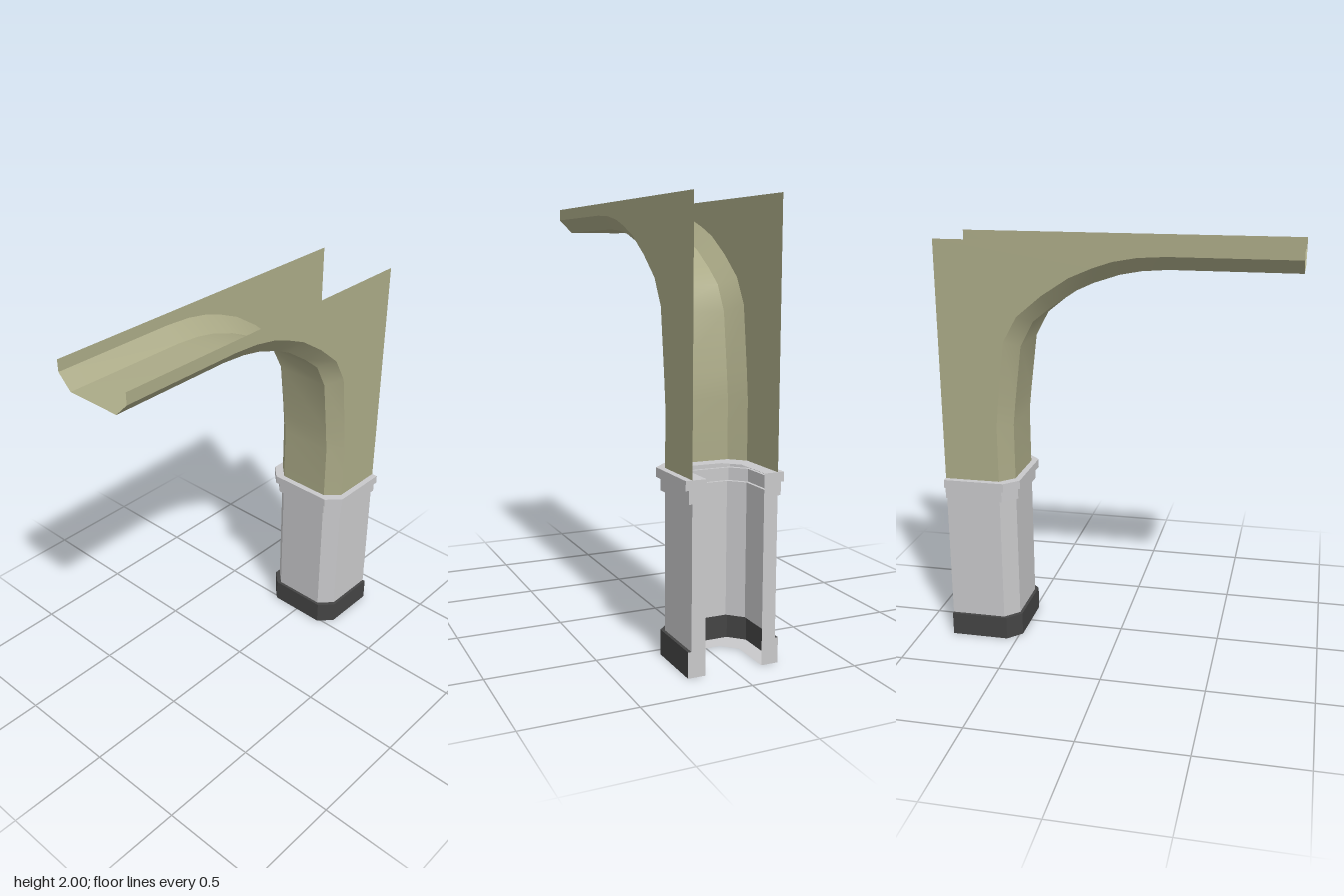
import * as THREE from 'three';

const BACK = -0.835, FRONT = 0.835, TOP = 2;

function material(name, color) {
  const m = new THREE.MeshStandardMaterial({ color, side: THREE.DoubleSide });
  m.name = name;
  return m;
}

// Half-octagon outline [x, z], pushed outwards by d
function outline(d) {
  const half = [[0.2 + d, BACK], [0.2 + d, -0.565 + d], [0.135 + d, -0.5 + d]];
  return [...half, ...half.map(([x, z]) => [-x, z]).reverse()];
}

// Inner edge of the ledges, open to the back
const innerOutline = [[0.135, BACK], [0.135, -0.635], [0.07, -0.57],
  [-0.07, -0.57], [-0.135, -0.635], [-0.135, BACK]];

// Indexed surface through rows of points
function loft(rows) {
  const n = rows[0].length, index = [];
  for (let i = 0; i < rows.length - 1; i++) {
    for (let j = 0; j < n - 1; j++) {
      const a = i * n + j, b = a + 1, c = a + n, d = c + 1;
      index.push(a, b, c, b, d, c);
    }
  }
  const g = new THREE.BufferGeometry();
  g.setAttribute('position', new THREE.Float32BufferAttribute(rows.flat(2), 3));
  g.setIndex(index);
  g.computeVertexNormals();
  return g;
}

// Hollow moulded shell from a profile of [offset, y]
function shell(profile) {
  const rows = profile.map(([d, y]) => outline(d).map(([x, z]) => [x, y, z]).reverse());
  const g = loft(rows).toNonIndexed();
  g.computeVertexNormals();
  return g;
}

function flat(points) {
  return new THREE.ShapeGeometry(new THREE.Shape(points.map(([a, b]) => new THREE.Vector2(a, b))));
}

// Horizontal U-shaped ledge
function ledge(d, y) {
  const pts = [...outline(d), ...[...innerOutline].reverse()].map(([x, z]) => [x, -z]);
  return flat(pts).rotateX(-Math.PI / 2).translate(0, y, 0);
}

export function createModel() {
  const model = new THREE.Group();
  model.name = 'archedPillar';
  const stone = material('pale grey stone', 0xc8c8ca);
  const plinth = material('dark grey', 0x444444);
  const olive = material('olive plaster', 0xabaa87);

  const add = (name, geometry, mat) => {
    const mesh = new THREE.Mesh(geometry, mat);
    mesh.name = name;
    model.add(mesh);
  };

  // Pillar shell with stepped capital, and its plinth
  const shaft = [[0, 0.115], [0, 0.745], [0.015, 0.745], [0.015, 0.803], [0.03, 0.803], [0.03, 0.845]];
  const foot = [[0.015, 0], [0.015, 0.115], [0, 0.115]];
  add('pillarShaft', shell(shaft), stone);
  add('pillarPlinth', shell(foot), plinth);
  add('capitalLedge', ledge(0.03, 0.845), stone);
  add('bottomLedge', ledge(0.015, 0), stone);

  // Back edges of the pillar, following the stepped profile
  const edge = [[0.135, 0], ...[...foot, ...shaft.slice(1)].map(([d, y]) => [0.2 + d, y]), [0.135, 0.845]];
  for (const s of [1, -1]) {
    const pts = edge.map(([x, y]) => [s * x, y]);
    const g = flat(pts).rotateY(Math.PI).scale(-1, 1, 1);
    // restore backward-facing winding after the mirror
    const idx = g.index.array;
    for (let i = 0; i < idx.length; i += 3) [idx[i], idx[i + 1]] = [idx[i + 1], idx[i]];
    for (let i = 0; i < idx.length; i += 3) [idx[i], idx[i + 1]] = [idx[i + 1], idx[i]];
    g.translate(0, 0, BACK);
    g.computeVertexNormals();
    add(s > 0 ? 'leftBackEdge' : 'rightBackEdge', g, stone);
  }

  // Arch curves as [z, y]: edge of the side panels, and edge of the soffit
  const panelCurve = [[-0.565, 0.845], [-0.565, 1.12], [-0.552, 1.25], [-0.517, 1.535], [-0.45, 1.655],
    [-0.33, 1.755], [-0.2, 1.84], [-0.09, 1.887], [0, 1.917], [0.11, 1.937], [0.24, 1.945], [FRONT, 1.945]];
  const soffitCurve = [[-0.5, 0.845], [-0.5, 1.12], [-0.488, 1.23], [-0.453, 1.505], [-0.39, 1.623],
    [-0.3, 1.695], [-0.18, 1.775], [-0.1, 1.812], [0.02, 1.852], [0.12, 1.871], [0.24, 1.88], [FRONT, 1.88]];

  add('archSoffit', loft(soffitCurve.map(([z, y]) => [[-0.135, y, z], [0.135, y, z]])), olive);

  for (const s of [1, -1]) {
    const side = s > 0 ? 'left' : 'right';
    // Sloped strip between soffit and side panel
    const rows = soffitCurve.map(([z, y], i) => {
      const [pz, py] = panelCurve[i];
      const row = [[s * 0.135, y, z], [s * 0.2, py, pz]];
      return s > 0 ? row : row.reverse();
    });
    add(side + 'ArchChamfer', loft(rows), olive);

    // Spandrel panel filling up to the top and back
    const pts = [...panelCurve, [FRONT, TOP], [BACK, TOP], [BACK, 0.845]].map(([z, y]) => [-s * z, y]);
    add(side + 'SidePanel', flat(pts).rotateY(s * Math.PI / 2).translate(s * 0.2, 0, 0), olive);
  }
  return model;
}
